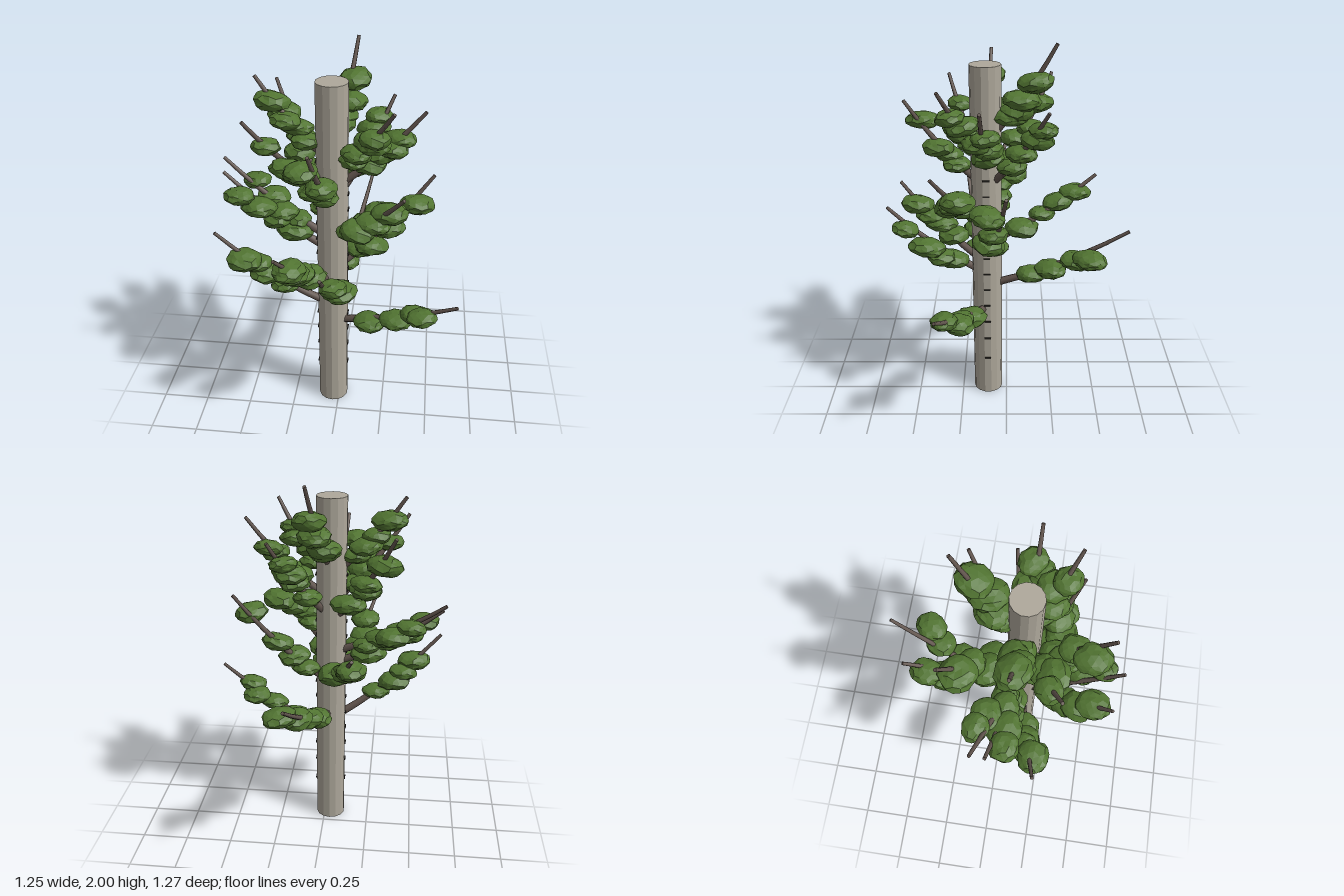
import * as THREE from 'three';

const AXIS = { x: -0.033, z: 0.105 };
const TRUNK_R = 0.08, TRUNK_H = 1.885;

// Branches: height on the trunk, then tip x, y, z
const BRANCHES = [
  [0.53, 0.62, 0.82, 0.34],
  [0.63, -0.62, 1.11, 0.23],
  [0.67, 0.12, 1.06, -0.63],
  [0.74, -0.03, 1.13, 0.63],
  [0.8, -0.25, 1.19, 0.58],
  [0.86, 0.47, 1.38, 0],
  [0.92, -0.18, 1.26, -0.48],
  [0.97, -0.61, 1.34, 0],
  [1.04, -0.62, 1.39, -0.07],
  [1.06, 0.33, 1.42, 0.36],
  [1.25, -0.09, 1.69, 0.52],
  [1.23, -0.36, 1.77, -0.24],
  [1.25, 0.25, 1.72, -0.2],
  [1.32, -0.42, 1.75, 0.31],
  [1.34, 0.41, 1.76, 0.12],
  [1.44, 0.27, 1.82, 0.32],
  [1.48, -0.4, 1.89, 0.08],
  [1.5, 0.06, 2.0, -0.24],
];

// Four leaf clumps per branch: fraction along it, sideways shift
const CLUMPS = [
  [0.32, 0.01, 0.53, 0.01, 0.66, -0.03, 0.75, 0.03],
  [0.42, -0.01, 0.58, 0.01, 0.66, 0.02, 0.77, -0.02],
  [0.32, 0, 0.47, 0.02, 0.65, 0.03, 0.75, 0.09],
  [0.35, -0.03, 0.46, -0.06, 0.6, -0.07, 0.81, -0.05],
  [0.4, 0.01, 0.55, 0.02, 0.66, 0.02, 0.8, -0.01],
  [0.27, -0.02, 0.38, 0.03, 0.56, 0.02, 0.82, 0.07],
  [0.31, 0.01, 0.52, -0.02, 0.67, -0.03, 0.82, -0.02],
  [0.35, 0, 0.5, -0.03, 0.66, -0.03, 0.82, -0.06],
  [0.33, 0.01, 0.45, -0.02, 0.57, 0.04, 0.74, 0.05],
  [0.36, 0.03, 0.49, 0.06, 0.6, 0, 0.72, -0.06],
  [0.36, 0, 0.49, 0.04, 0.59, -0.01, 0.8, 0.06],
  [0.35, 0.02, 0.5, -0.03, 0.62, 0.02, 0.8, -0.02],
  [0.42, -0.01, 0.58, 0, 0.74, -0.04, 0.84, -0.04],
  [0.33, 0.01, 0.45, -0.03, 0.55, -0.05, 0.75, 0.01],
  [0.4, -0.02, 0.53, -0.03, 0.67, 0.03, 0.73, -0.02],
  [0.34, -0.01, 0.46, 0.02, 0.6, -0.03, 0.72, 0.01],
  [0.35, -0.01, 0.48, 0.02, 0.6, -0.02, 0.79, 0],
  [0.34, -0.01, 0.43, -0.02, 0.54, 0.02, 0.73, 0.02],
];

function seeded(seed) {
  return () => {
    seed = (seed * 16807) % 2147483647;
    return seed / 2147483647;
  };
}

// Rough faceted ball, flattened when placed
function leafGeometry(seed) {
  const geo = new THREE.IcosahedronGeometry(1, 2);
  const pos = geo.attributes.position;
  const v = new THREE.Vector3();
  for (let i = 0; i < pos.count; i++) {
    v.fromBufferAttribute(pos, i);
    const lump = Math.sin(v.x * 12.9 + v.y * 7.3 + v.z * 17.1 + seed * 2.4);
    v.multiplyScalar(1 + 0.07 * lump);
    pos.setXYZ(i, v.x, v.y, v.z);
  }
  geo.computeVertexNormals();
  return geo;
}

// Tapered round rod between two points
function rod(a, b, rA, rB, material) {
  const dir = b.clone().sub(a);
  const mesh = new THREE.Mesh(new THREE.CylinderGeometry(rB, rA, dir.length(), 7), material);
  mesh.position.copy(a).add(b).multiplyScalar(0.5);
  mesh.quaternion.setFromUnitVectors(new THREE.Vector3(0, 1, 0), dir.normalize());
  return mesh;
}

export function createModel() {
  const tree = new THREE.Group();
  tree.name = 'tree';
  const bark = new THREE.MeshStandardMaterial({ color: 0xaea89b, flatShading: true });
  const wood = new THREE.MeshStandardMaterial({ color: 0x63564f });
  const dark = new THREE.MeshStandardMaterial({ color: 0x2a2724 });
  const green = new THREE.MeshStandardMaterial({ color: 0x527532, flatShading: true });
  const rand = seeded(4217);
  const spread = (s) => (rand() * 2 - 1) * s;

  // Trunk
  const trunk = new THREE.Mesh(new THREE.CylinderGeometry(TRUNK_R, TRUNK_R, TRUNK_H, 14), bark);
  trunk.name = 'trunk';
  trunk.position.set(AXIS.x, TRUNK_H / 2, AXIS.z);
  tree.add(trunk);

  // Dark bark marks up both sides, closer together towards the top
  const marks = new THREE.Group();
  marks.name = 'barkMarks';
  const markGeo = new THREE.BoxGeometry(0.008, 0.008, 0.036);
  for (const side of [-1, 1]) {
    for (let i = 0; i < 14; i++) {
      const mark = new THREE.Mesh(markGeo, dark);
      mark.name = 'barkMark';
      mark.position.set(AXIS.x + side * TRUNK_R, 0.235 + 0.13 * i ** 0.88, AXIS.z);
      marks.add(mark);
    }
  }
  tree.add(marks);

  // Branches that sweep upward, each carrying its leaf clumps
  const leafGeos = [1, 2, 3, 4].map(leafGeometry);
  const STEPS = 6;
  BRANCHES.forEach(([y0, x, y, z], n) => {
    const branch = new THREE.Group();
    branch.name = 'branch' + (n + 1);
    const along = new THREE.Vector3(x - AXIS.x, 0, z - AXIS.z);
    const angle = Math.atan2(along.z, along.x);
    const start = Math.min(0.25, 0.06 / along.length());
    const at = (t) => new THREE.Vector3(
      AXIS.x + along.x * t,
      y0 + (y - y0) * (0.66 * t + 0.34 * t * t),
      AXIS.z + along.z * t
    );
    const radius = (t) => 0.023 - 0.014 * t;

    for (let i = 0; i < STEPS; i++) {
      const t0 = start + (1 - start) * (i / STEPS);
      const t1 = start + (1 - start) * ((i + 1) / STEPS);
      const piece = rod(at(t0), at(t1), radius(t0), radius(t1), wood);
      piece.name = 'branchWood';
      branch.add(piece);
    }

    for (let i = 0; i < 4; i++) {
      const [t, shift] = CLUMPS[n].slice(i * 2, i * 2 + 2);
      const leaf = new THREE.Mesh(leafGeos[(n + i) % 4], green);
      leaf.name = 'leafClump';
      leaf.position.copy(at(t));
      leaf.position.x -= Math.sin(angle) * shift;
      leaf.position.z += Math.cos(angle) * shift;
      leaf.position.y += -0.01 + spread(0.01);
      const r = 0.079 + spread(0.012);
      leaf.scale.set(r * 1.08, r * 0.55, r * 0.95);
      leaf.rotation.set(spread(0.12), -angle + spread(0.5), spread(0.12));
      branch.add(leaf);
    }
    tree.add(branch);
  });

  return tree;
}
